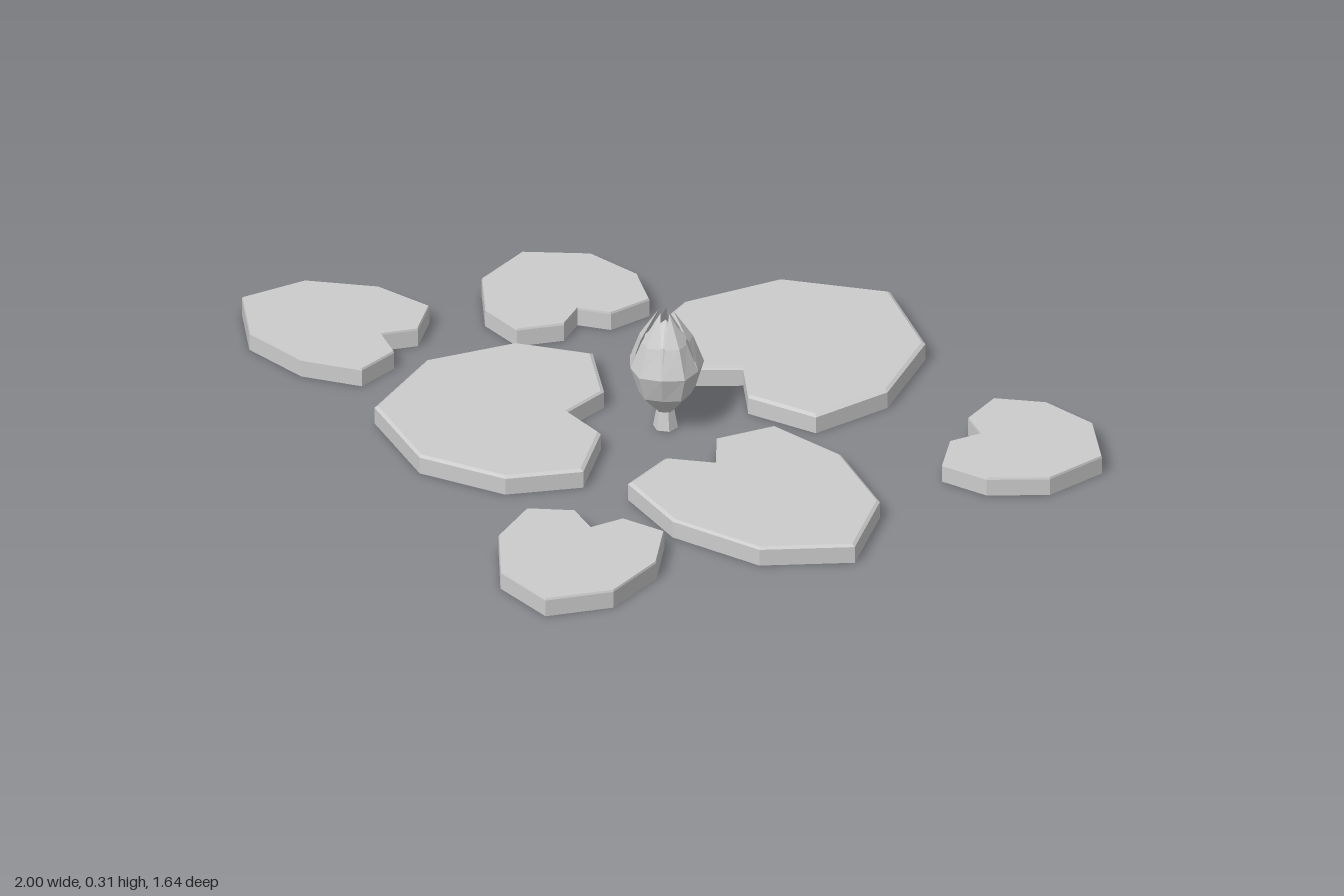
import * as THREE from 'three';

const material = new THREE.MeshStandardMaterial({ color: 0xcccccc, flatShading: true });
const petalMaterial = new THREE.MeshStandardMaterial({ color: 0xcccccc, flatShading: true, side: THREE.DoubleSide });

// Half outline of a lily pad: [across, along], from beside the notch to beside the tip
const HALF = [[0.31, -0.18], [0.87, -0.105], [1, 0.295], [0.717, 0.747]];
const OUTLINE = [[0, 0], ...HALF, [0, 1], ...HALF.map(([a, b]) => [-a, b]).reverse()];

// Pad placed by its notch, the vector to its tip and the vector to its side, all as [x, z]
function lilyPad(name, notch, tip, side, inset) {
  const place = (a, b) => new THREE.Vector2(
    notch[0] + a * side[0] + b * tip[0],
    -(notch[1] + a * side[1] + b * tip[1]));
  const shape = new THREE.Shape(OUTLINE.map(([a, b]) => place(a, b)));
  const geometry = new THREE.ExtrudeGeometry(shape, { depth: 1, steps: 2, bevelEnabled: false });

  // Vertical rim below, narrow sloping edge above
  const centre = place(0, 0.4);
  const p = geometry.attributes.position;
  for (let i = 0; i < p.count; i++) {
    const layer = Math.round(p.getZ(i) * 2);
    if (layer === 2) {
      p.setX(i, centre.x + (p.getX(i) - centre.x) * inset);
      p.setY(i, centre.y + (p.getY(i) - centre.y) * inset);
    }
    p.setZ(i, [0, 0.042, 0.047][layer]);
  }
  geometry.rotateX(-Math.PI / 2);
  geometry.computeVertexNormals();
  const mesh = new THREE.Mesh(geometry, material);
  mesh.name = name;
  return mesh;
}

// Creased petal: rows of [y, ridge radius, edge radius, half angle]
function petalGeometry() {
  const w = Math.PI / 5;
  const rows = [
    [0.045, 0.02, 0.018, w], [0.1, 0.072, 0.064, w], [0.165, 0.092, 0.084, w],
    [0.235, 0.066, 0.058, w * 0.85], [0.308, 0.018, 0.018, 0.02],
  ];
  const positions = [], index = [];
  rows.forEach(([y, ridge, edge, half], i) => {
    for (let j = -1; j <= 1; j++) {
      const r = j === 0 ? ridge : edge;
      positions.push(r * Math.sin(j * half), y, r * Math.cos(j * half));
    }
    if (i === 0) return;
    for (let j = 0; j < 2; j++) {
      const low = (i - 1) * 3 + j, up = low + 3;
      index.push(low, low + 1, up + 1, low, up + 1, up);
    }
  });
  const geometry = new THREE.BufferGeometry();
  geometry.setAttribute('position', new THREE.Float32BufferAttribute(positions, 3));
  geometry.setIndex(index);
  geometry.computeVertexNormals();
  return geometry;
}

function flowerBud() {
  const bud = new THREE.Group();
  bud.name = 'flowerBud';

  // Five closed petals
  const geometry = petalGeometry();
  for (let i = 0; i < 5; i++) {
    const petal = new THREE.Mesh(geometry, petalMaterial);
    petal.name = 'petal';
    petal.rotation.y = (i / 5) * Math.PI * 2;
    bud.add(petal);
  }

  // Inner core seen between the petal tips
  const profile = [[0.015, 0.05], [0.07, 0.165], [0.052, 0.235], [0, 0.285]];
  const core = new THREE.Mesh(
    new THREE.LatheGeometry(profile.map(([r, y]) => new THREE.Vector2(r, y)), 10), petalMaterial);
  core.name = 'budCore';
  bud.add(core);

  // Short stem, wider at its foot
  const stem = new THREE.Mesh(new THREE.CylinderGeometry(0.02, 0.03, 0.055, 6), material);
  stem.name = 'stem';
  stem.position.y = 0.0275;
  bud.add(stem);

  bud.position.set(0.09, 0, -0.05);
  return bud;
}

export function createModel() {
  const model = new THREE.Group();
  model.name = 'waterLily';

  // Three large pads around the bud
  const large = [
    [[0.094, -0.315], [0, -0.508], [0.321, 0]],
    [[0.35, 0.06], [0.51, 0.075], [0.037, -0.251]],
    [[-0.072, 0.112], [-0.348, 0.289], [-0.211, -0.249]],
  ];
  large.forEach((pad) => model.add(lilyPad('largePad', ...pad, 0.97)));

  // Four small pads further out
  const small = [
    [[-0.388, -0.267], [-0.278, -0.112], [0.075, -0.182]],
    [[0.714, -0.46], [0.283, -0.112], [0.072, 0.182]],
    [[-0.644, 0.134], [-0.358, 0.091], [-0.051, -0.19]],
    [[0.345, 0.487], [0.155, 0.326], [0.179, -0.078]],
  ];
  small.forEach((pad) => model.add(lilyPad('smallPad', ...pad, 0.99)));

  model.add(flowerBud());
  return model;
}
